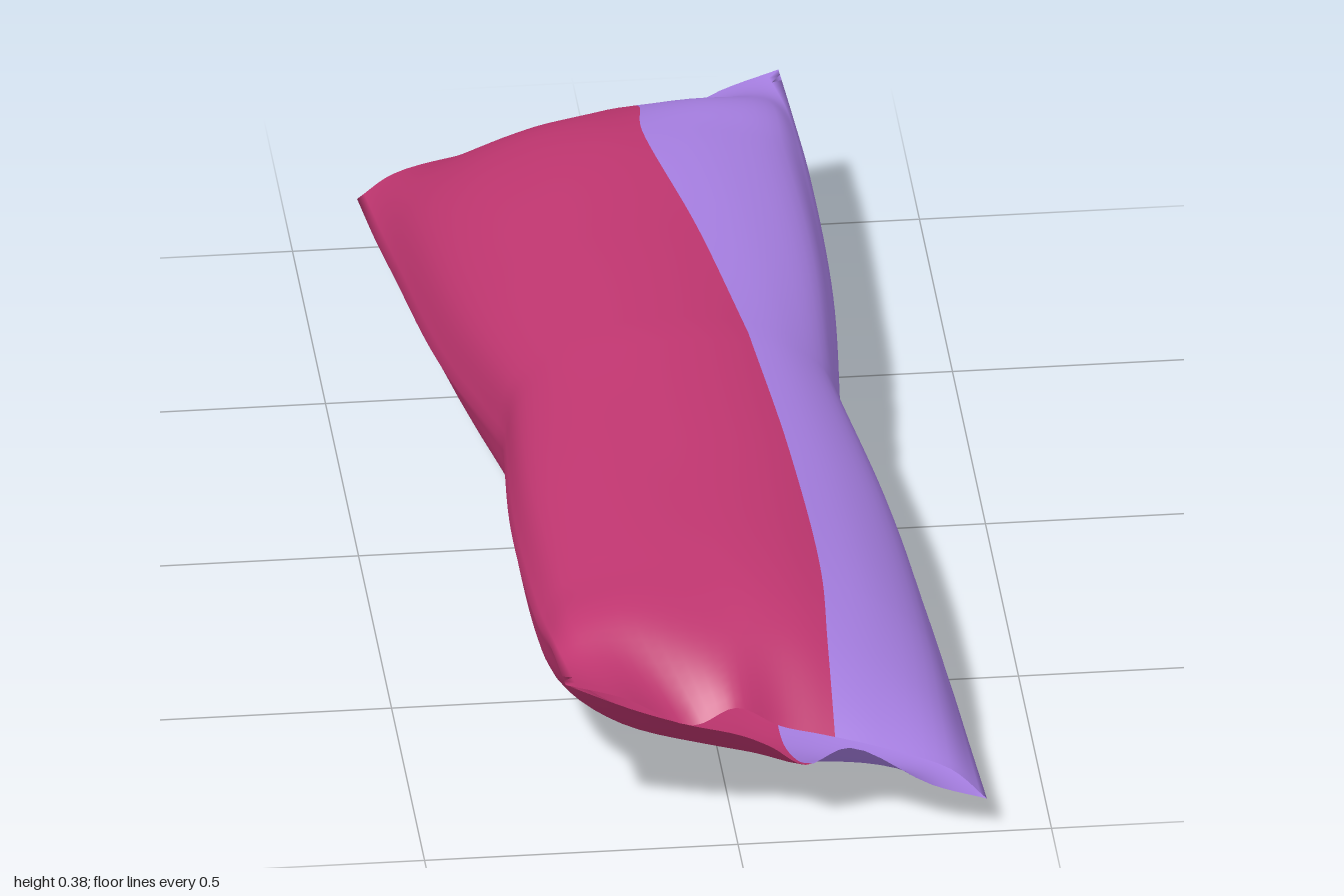
import * as THREE from 'three';

const COLS = 40; // divisions across each panel
const ROWS = 36; // divisions along each half of the length
const SEAM = 26; // column where the two colours meet

// Middle: a full oval, given as nine [x, y] points per panel
const oval = (side) => Array.from({ length: 9 }, (_, k) => {
  const a = Math.PI * k / 8;
  return [-.27 * Math.cos(a), .192 + side * .192 * Math.abs(Math.sin(a)) ** .75];
});
const middle = { z: 0, lift: 0, upper: oval(1), lower: oval(-1) };

// Towards the front end the oval flattens and tilts into an open lip.
// The upper panel runs corner to corner; the lower one shares its corners.
const section = (z, lift, upper, under) =>
  ({ z, lift, upper, lower: [upper[0], ...under, upper[8]] });
const shoulder = section(.7, .02,
  [[-.293, .265], [-.25, .32], [-.14, .353], [0, .354], [.08, .342], [.145, .322], [.25, .272], [.33, .2], [.37, .105]],
  [[-.26, .155], [-.17, .077], [-.035, .037], [.03, .028], [.08, .025], [.19, .033], [.31, .058]]);
const neck = section(.85, .045,
  [[-.283, .292], [-.245, .322], [-.15, .333], [-.01, .315], [.07, .3], [.14, .28], [.24, .232], [.335, .162], [.384, .08]],
  [[-.235, .205], [-.14, .137], [-.02, .095], [.035, .08], [.09, .066], [.19, .055], [.31, .05]]);
const lip = section(1, .073,
  [[-.275, .305], [-.18, .27], [-.07, .21], [0, .235], [.07, .197], [.14, .178], [.23, .153], [.34, .112], [.397, .06]],
  [[-.17, .25], [-.08, .212], [.005, .185], [.055, .16], [.11, .125], [.18, .155], [.31, .085]]);

// Halfway between two sections, puffed out about the axis
function puffed(a, b, puff) {
  const mix = (p, q) => p.map(([x, y], k) => [
    puff * (x + q[k][0]) / 2, .192 + puff * ((y + q[k][1]) / 2 - .192)]);
  return { z: (a.z + b.z) / 2, lift: 0, upper: mix(a.upper, b.upper), lower: mix(a.lower, b.lower) };
}

// The back half is the front half turned half way round, twisted a little less
function turned({ z, lift, upper, lower }) {
  const flip = (pts) => pts.map(([x, y]) => [-x, y + lift * x]).reverse();
  return { z: -z, upper: flip(upper), lower: flip(lower) };
}

// Closed ring of points: across the top, then back underneath
function ring({ z, upper, lower }) {
  const curve = (pts) => new THREE.CatmullRomCurve3(
    pts.map(([x, y]) => new THREE.Vector3(x, y, z)), false, 'centripetal');
  const top = curve(upper).getPoints(COLS);
  const bottom = curve(lower).getPoints(COLS).reverse();
  return [...top.slice(0, COLS), ...bottom.slice(0, COLS)];
}

export function createModel() {
  const group = new THREE.Group();
  const pink = new THREE.MeshStandardMaterial({ color: 0xc03670, side: THREE.DoubleSide });
  pink.name = 'pink';
  const lilac = new THREE.MeshStandardMaterial({ color: 0xa880e4, side: THREE.DoubleSide });
  lilac.name = 'lilac';

  const half = [middle, puffed(middle, shoulder, 1.045), shoulder, neck, lip];
  const front = half.map(ring);
  const back = half.map(turned).reverse().map(ring);
  const n = 2 * COLS;

  // Lengthwise curves through each column, with a pinch where the halves meet
  const lengthwise = (rings, j) => new THREE.CatmullRomCurve3(
    rings.map((r) => r[j]), false, 'centripetal').getPoints(ROWS);
  const columns = [];
  for (let j = 0; j < n; j++) {
    columns.push([...lengthwise(back, j), ...lengthwise(front, j).slice(1)]);
  }
  const positions = [];
  for (let i = 0; i <= 2 * ROWS; i++) {
    for (let j = 0; j < n; j++) {
      const p = columns[j][i];
      // The open ends curve inwards slightly
      const z = p.z * (1 - .025 * Math.abs(Math.sin(Math.PI * j / COLS)) * p.z ** 8);
      positions.push(p.x, p.y, z);
    }
  }

  // Faces sorted into the two coloured sides
  const faces = [[], []];
  for (let j = 0; j < n; j++) {
    const side = j >= SEAM && j < n - SEAM ? 1 : 0;
    const k = (j + 1) % n;
    for (let i = 0; i < 2 * ROWS; i++) {
      const a = i * n, b = a + n;
      faces[side].push(a + j, b + j, a + k, a + k, b + j, b + k);
    }
  }

  const geometry = new THREE.BufferGeometry();
  geometry.setAttribute('position', new THREE.Float32BufferAttribute(positions, 3));
  geometry.setIndex([...faces[0], ...faces[1]]);
  geometry.addGroup(0, faces[0].length, 0);
  geometry.addGroup(faces[0].length, faces[1].length, 1);
  geometry.computeVertexNormals();

  const sleeve = new THREE.Mesh(geometry, [pink, lilac]);
  sleeve.name = 'twistedSleeve';
  group.add(sleeve);
  return group;
}
